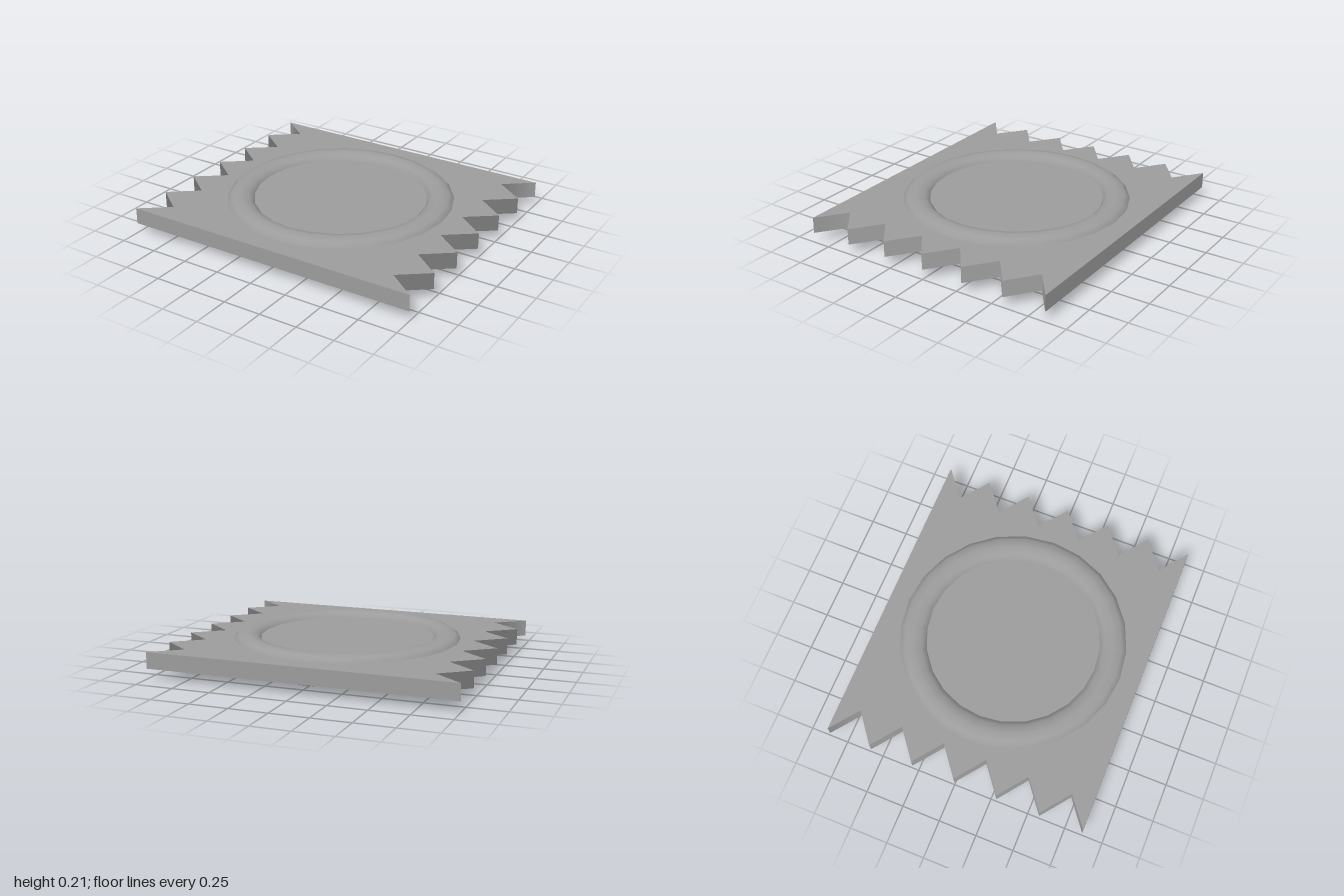
import * as THREE from 'three';

export function createModel() {
  const model = new THREE.Group();
  const material = new THREE.MeshStandardMaterial({ color: 0x9c9c9c });

  // Flat plate with a zigzag cut along its left and right edges
  const halfDepth = 0.864, tipX = 1, notchX = 0.813, teeth = 6;
  const steps = teeth * 2;
  const points = [];
  for (const side of [1, -1]) {
    for (let i = 0; i <= steps; i++) {
      const x = i % 2 ? notchX : tipX;
      const y = -halfDepth + (2 * halfDepth * i) / steps;
      points.push(new THREE.Vector2(side * x, side * y));
    }
  }
  const plateGeometry = new THREE.ExtrudeGeometry(new THREE.Shape(points), { depth: 0.106, bevelEnabled: false });
  plateGeometry.rotateX(-Math.PI / 2);

  // Smooth shading along the teeth; the four corners stay sharp
  const { position, normal } = plateGeometry.attributes;
  for (let i = 0; i < position.count; i++) {
    const onWall = Math.abs(normal.getY(i)) < 0.5;
    const atCorner = Math.abs(position.getZ(i)) > halfDepth - 0.01;
    if (onWall && !atCorner) normal.setXYZ(i, Math.sign(position.getX(i)), 0, 0);
  }
  const plate = new THREE.Mesh(plateGeometry, material);
  plate.name = 'zigzagPlate';
  plate.position.y = 0.066;
  model.add(plate);

  // Round ring sunk through the plate, standing proud on both faces
  const radius = 0.652;
  const section = [
    [0.105, 0.115], [0.087, 0.172], [0.0535, 0.2], [0, 0.213],
    [-0.0535, 0.2], [-0.087, 0.172], [-0.105, 0.115], [-0.087, 0.066],
    [-0.0535, 0.0145], [0, 0], [0.0535, 0.0145], [0.087, 0.066], [0.105, 0.115],
  ];
  const profile = section.map(([offset, y]) => new THREE.Vector2(radius + offset, y));
  const ring = new THREE.Mesh(new THREE.LatheGeometry(profile, 24), material);
  ring.name = 'ring';
  model.add(ring);

  return model;
}
